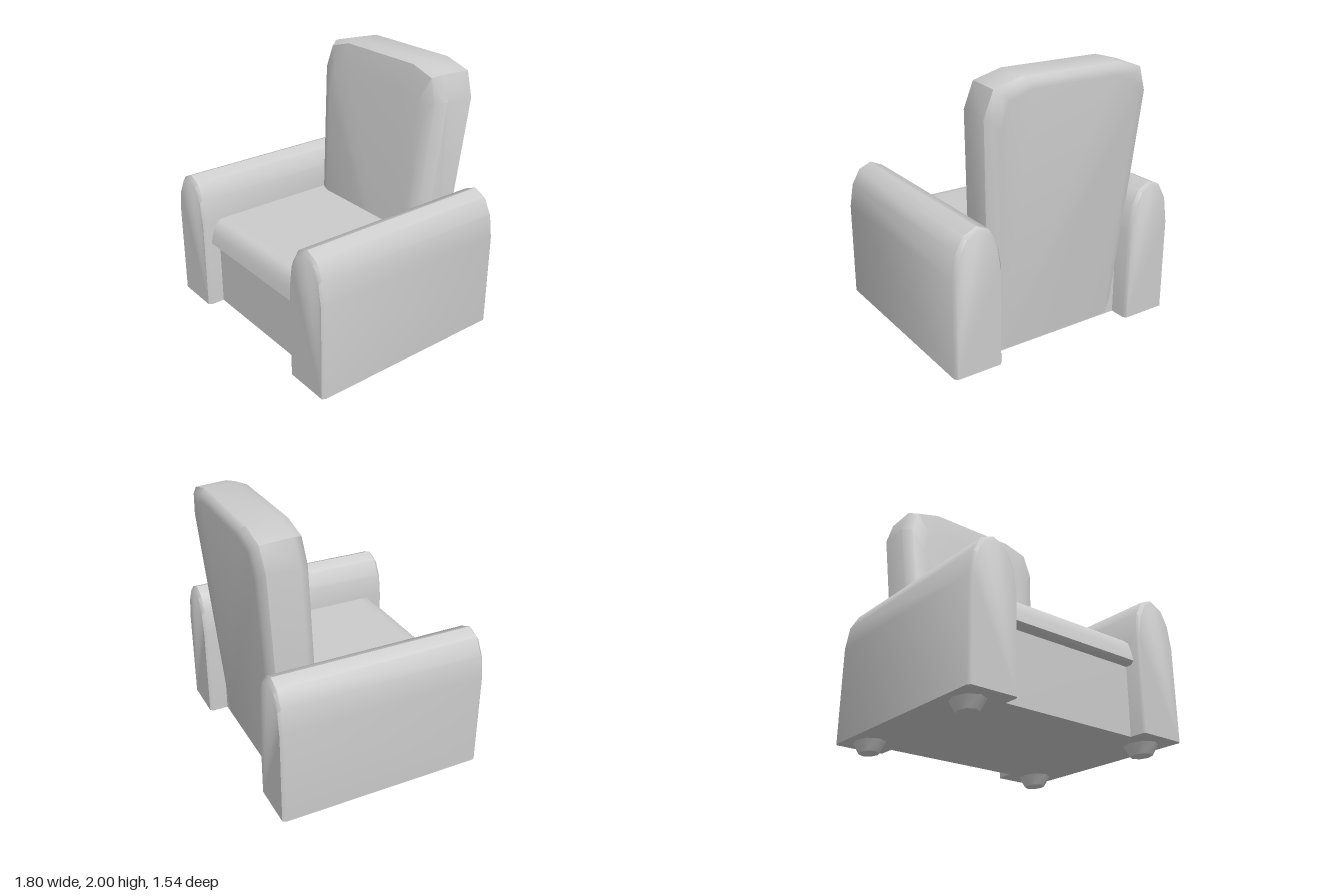
import * as THREE from 'three';
import { toCreasedNormals } from 'three/addons/utils/BufferGeometryUtils.js';

const material = new THREE.MeshStandardMaterial({ color: 0xcccccc });

// Mirror half an outline (right side, bottom to top) into a closed counter-clockwise one.
function mirrorOutline(half) {
  const left = half.filter(([x]) => x > 0).map(([x, y]) => [-x, y]).reverse();
  return [...half, ...left];
}

// Loft an outline through rings [z, scaleX, scaleY], scaled about x = 0, y = baseY, with capped ends.
function loft(outline, rings, baseY, crease, place = (p) => p) {
  const n = outline.length;
  const loops = rings.map(([z, sx, sy]) =>
    outline.map(([x, y]) => place([x * sx, baseY + (y - baseY) * sy, z])));
  const positions = [];
  const tri = (a, b, c) => positions.push(...a, ...b, ...c);
  for (let r = 0; r < loops.length - 1; r++) {
    for (let i = 0; i < n; i++) {
      const j = (i + 1) % n;
      tri(loops[r][i], loops[r][j], loops[r + 1][j]);
      tri(loops[r][i], loops[r + 1][j], loops[r + 1][i]);
    }
  }
  const first = loops[0], last = loops[loops.length - 1];
  for (let i = 1; i < n - 1; i++) {
    tri(first[0], first[i + 1], first[i]);
    tri(last[0], last[i], last[i + 1]);
  }
  const geometry = new THREE.BufferGeometry();
  geometry.setAttribute('position', new THREE.Float32BufferAttribute(positions, 3));
  return toCreasedNormals(geometry, crease);
}

export function createModel() {
  const group = new THREE.Group();
  const add = (name, geometry, x = 0, y = 0, z = 0) => {
    const mesh = new THREE.Mesh(geometry, material);
    mesh.name = name;
    mesh.position.set(x, y, z);
    group.add(mesh);
    return mesh;
  };

  // Base between the arms
  add('base', new THREE.BoxGeometry(1.1, 0.505, 1.27), 0, 0.3275, 0.015);

  // Seat cushion: side profile (z, y) with a rounded, overhanging front lip
  const profile = [[-0.5, 0.575], [0.69, 0.575], [0.72, 0.6], [0.705, 0.67],
    [0.68, 0.74], [0.64, 0.775], [0.58, 0.78], [-0.5, 0.78]];
  const seat = new THREE.ExtrudeGeometry(
    new THREE.Shape(profile.map(([z, y]) => new THREE.Vector2(z, y))),
    { depth: 1.1, bevelEnabled: false });
  seat.translate(0, 0, -0.55).rotateY(-Math.PI / 2);
  add('seatCushion', toCreasedNormals(seat, 0.8));

  // Reclined backrest, flaring upwards, with a thickly padded front
  const backOutline = mirrorOutline(
    [[0.53, 0.085], [0.64, 1.77], [0.58, 1.945], [0.38, 2.0]]);
  const backRings = [[-0.37, 0.84, 0.96], [-0.36, 0.93, 0.985], [-0.325, 1, 1],
    [-0.1, 1, 1], [-0.03, 0.92, 0.985], [0, 0.78, 0.89]];
  const recline = ([x, y, z]) => [x, y + 0.06 * (z + 0.1) * (y / 2), z - 0.245 - 0.08 * y];
  add('backrest', loft(backOutline, backRings, 0.085, 0.75, recline));

  // Round-topped arms with softened ends
  const armOutline = mirrorOutline(
    [[0.182, 0.075], [0.182, 0.78], [0.154, 0.95], [0.092, 1.06], [0, 1.1]]);
  const armRings = [[-0.76, 0.91, 0.972], [-0.738, 1, 1], [0.752, 1, 1], [0.774, 0.91, 0.972]];
  const armGeometry = loft(armOutline, armRings, 0.075, 0.75);

  // Tapered eight-sided feet
  const footGeometry = toCreasedNormals(new THREE.CylinderGeometry(0.108, 0.067, 0.08, 8), 0.9);

  for (const [side, s] of [['left', 1], ['right', -1]]) {
    add(`${side}Arm`, armGeometry, s * 0.718, 0, 0);
    for (const [end, z] of [['Front', 0.55], ['Rear', -0.565]]) {
      add(`${side}${end}Foot`, footGeometry, s * 0.74, 0.04, z).scale.z = 1.25;
    }
  }
  return group;
}
